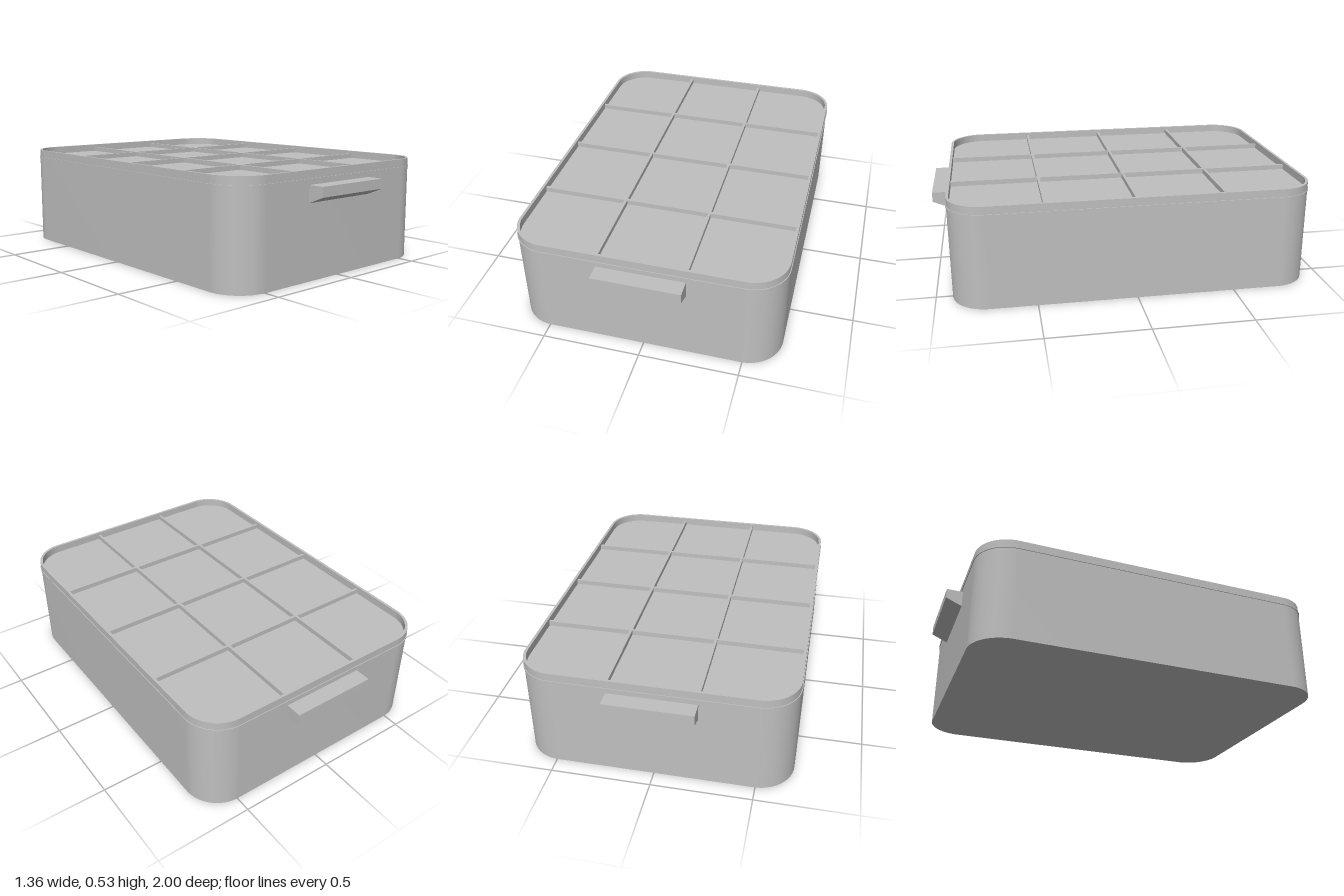
import * as THREE from 'three';
import { toCreasedNormals } from 'three/addons/utils/BufferGeometryUtils.js';

const HALF_X = 0.674, HALF_Z = 0.917, RADIUS = 0.18;

// Rounded rectangle outline, grown (or shrunk) by an offset
function outline(offset, Type = THREE.Shape) {
  const x = HALF_X + offset, z = HALF_Z + offset, r = RADIUS + offset;
  const s = new Type();
  s.moveTo(x, r - z);
  s.lineTo(x, z - r);
  s.absarc(x - r, z - r, r, 0, Math.PI / 2);
  s.absarc(r - x, z - r, r, Math.PI / 2, Math.PI);
  s.absarc(r - x, r - z, r, Math.PI, Math.PI * 1.5);
  s.absarc(x - r, r - z, r, Math.PI * 1.5, Math.PI * 2);
  return s;
}

// Upright slab between two heights, optionally hollowed by a wall thickness
function slab(offset, y0, y1, wall = 0) {
  const shape = outline(offset);
  if (wall) shape.holes.push(outline(offset - wall, THREE.Path));
  const g = new THREE.ExtrudeGeometry(shape, { depth: y1 - y0, bevelEnabled: false, curveSegments: 16 });
  g.rotateX(-Math.PI / 2).translate(0, y0, 0);
  return toCreasedNormals(g, 0.6);
}

export function createModel() {
  const model = new THREE.Group();
  model.name = 'storageBox';
  const plastic = new THREE.MeshStandardMaterial({ color: 0xbfbfbf });
  plastic.name = 'grey plastic';

  const add = (name, geometry) => {
    const mesh = new THREE.Mesh(geometry, plastic);
    mesh.name = name;
    model.add(mesh);
    return mesh;
  };

  // Body, the thin lip at the seam, and the raised rim of the lid
  const floorY = 0.49, ribTop = 0.515, rimTop = 0.53;
  add('body', slab(0, 0, 0.484));
  add('seamLip', slab(0.004, 0.484, floorY));
  add('lidRim', slab(0, floorY, rimTop, 0.014));

  // Ribs dividing the lid into three by four panels
  const ribW = 0.014, ribH = ribTop - floorY, ribY = floorY + ribH / 2;
  for (const x of [-0.22, 0.22]) {
    add('longRib', new THREE.BoxGeometry(ribW, ribH, (HALF_Z - 0.01) * 2)).position.set(x, ribY, 0);
  }
  for (const z of [-0.45, 0, 0.45]) {
    add('crossRib', new THREE.BoxGeometry((HALF_X - 0.01) * 2, ribH, ribW)).position.set(0, ribY, z);
  }

  // Grips with a sloping underside, one at each end
  const profile = new THREE.Shape([
    [0.91, 0.372], [1, 0.41], [1, 0.46], [0.91, 0.46],
  ].map(([z, y]) => new THREE.Vector2(z, y)));
  const grip = new THREE.ExtrudeGeometry(profile, { depth: 0.44, bevelEnabled: false });
  grip.translate(0, 0, -0.22).rotateY(-Math.PI / 2);
  add('frontHandle', grip);
  add('backHandle', grip).rotation.y = Math.PI;

  return model;
}
